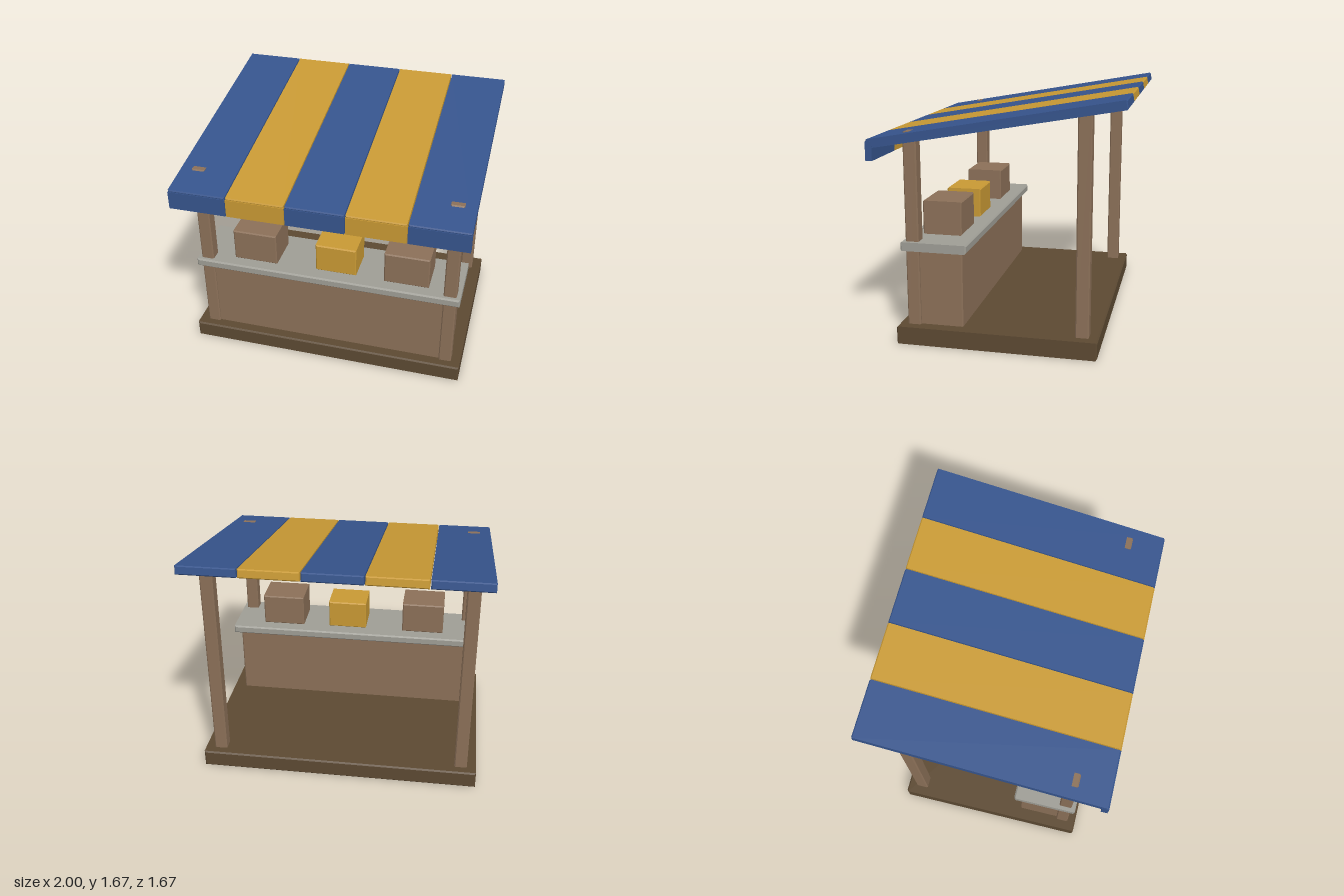
import * as THREE from 'three';

const mat = (name, color) => {
  const m = new THREE.MeshStandardMaterial({ color });
  m.name = name;
  return m;
};

// Box given by its limits, with small flat chamfers on every edge
function chamferBox(w, h, d, c) {
  const x = w / 2 - c, y = h / 2 - c;
  const s = new THREE.Shape();
  s.moveTo(-x, -y).lineTo(x, -y).lineTo(x, y).lineTo(-x, y).closePath();
  const g = new THREE.ExtrudeGeometry(s, {
    depth: d - 2 * c, bevelEnabled: true, bevelSize: c, bevelThickness: c, bevelSegments: 1,
  });
  return g.translate(0, 0, c - d / 2);
}

export function createModel() {
  const model = new THREE.Group();
  model.name = 'marketStall';
  const wood = mat('wood', 0x8b7058);
  const darkWood = mat('dark wood', 0x5c4932);
  const stone = mat('counter grey', 0x9e9d95);
  const blue = mat('awning blue', 0x36548c);
  const yellow = mat('awning yellow', 0xc89934);

  const block = (name, material, [x0, x1], [y0, y1], [z0, z1], c = 0.008) => {
    const mesh = new THREE.Mesh(chamferBox(x1 - x0, y1 - y0, z1 - z0, c), material);
    mesh.position.set((x0 + x1) / 2, (y0 + y1) / 2, (z0 + z1) / 2);
    mesh.name = name;
    model.add(mesh);
    return mesh;
  };

  // Floor and serving counter
  block('floor', darkWood, [-0.985, 0.985], [0, 0.122], [-0.675, 0.675], 0.01);
  block('counterBody', wood, [-0.9, 0.9], [0.11, 0.65], [0.235, 0.6]);
  block('counterTop', stone, [-0.947, 0.947], [0.64, 0.7], [0.195, 0.645], 0.01);

  // Corner posts; the front pair just breaks through the roof
  for (const side of [-1, 1]) {
    const x = side * 0.875;
    block('frontPost', wood, [x - 0.045, x + 0.045], [0.11, 1.43], [0.525, 0.615]);
    block('backPost', wood, [x - 0.045, x + 0.045], [0.11, 1.6], [-0.612, -0.522]);
  }

  // Crates on the counter
  block('leftCrate', wood, [0.405, 0.72], [0.698, 0.932], [0.29, 0.56]);
  block('middleCrate', yellow, [-0.085, 0.205], [0.698, 0.908], [0.3, 0.55]);
  block('rightCrate', wood, [-0.685, -0.37], [0.698, 0.932], [0.29, 0.56]);

  // Sloping striped roof with a hanging front valance
  for (let i = -2; i <= 2; i++) {
    const material = i % 2 ? yellow : blue;
    const x = i * 0.401;
    const strip = new THREE.Mesh(chamferBox(0.394, 0.06, 1.685, 0.007), material);
    strip.name = 'roofStrip';
    strip.position.set(x, 1.5, 0);
    strip.rotation.x = THREE.MathUtils.degToRad(10);
    model.add(strip);

    const valance = new THREE.Mesh(new THREE.BoxGeometry(0.396, 0.125, 0.045), material);
    valance.name = 'valance';
    valance.position.set(x, 1.3075, 0.815);
    model.add(valance);
  }
  return model;
}
